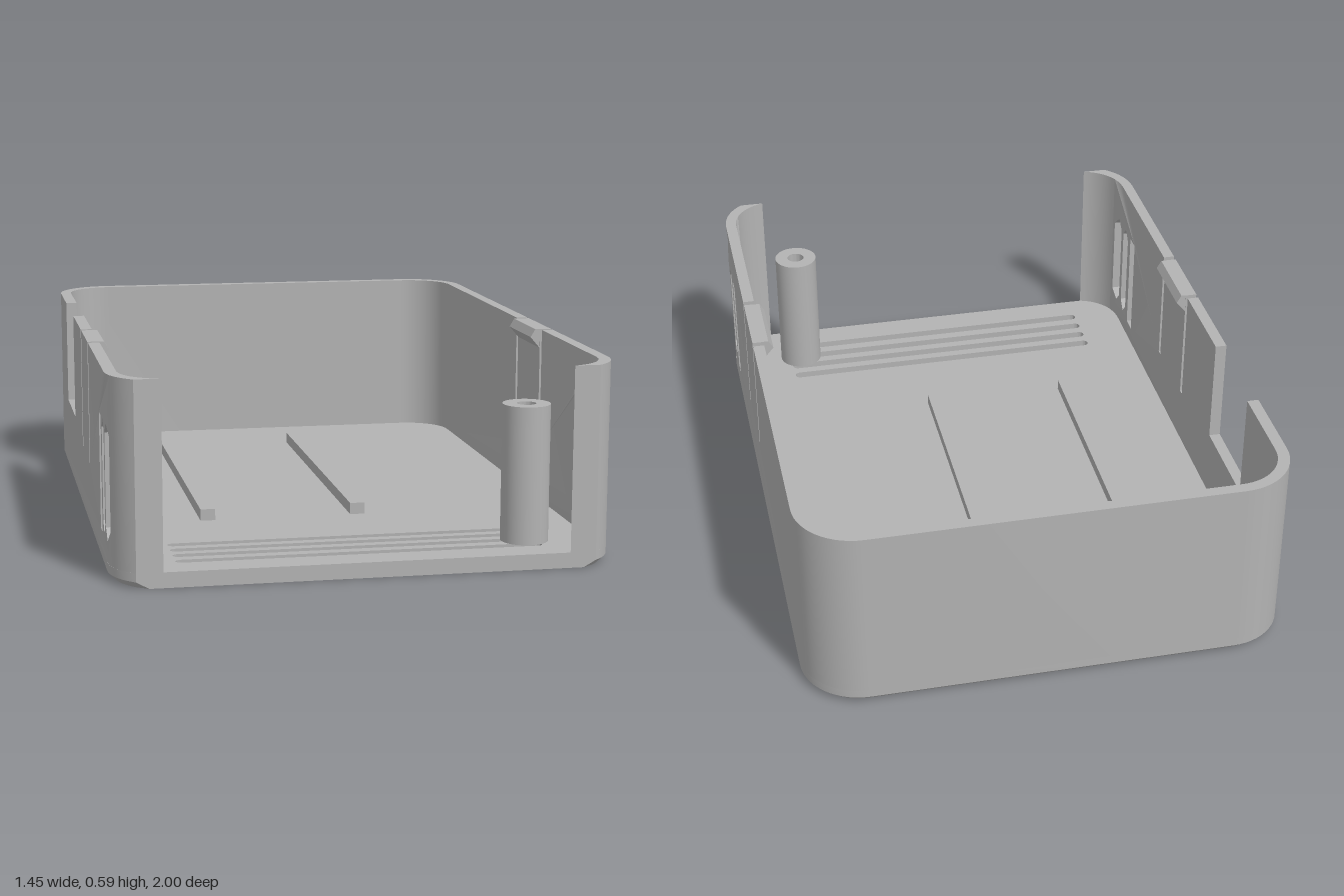
import * as THREE from 'three';
import { toCreasedNormals } from 'three/addons/utils/BufferGeometryUtils.js';

const TOP = 0.585, FLOOR = 0.045, CHAMFER = 0.02;
const RO = 0.18, RI = 0.145;              // outer and inner corner radii
const CX = 0.545, CB = -0.82, CF = 0.86;  // corner centres: x, back z, front z
const CUT = 1, PANEL_END = 0.92;          // open front plane, end of slotted panels

const plastic = new THREE.MeshStandardMaterial({ color: 0xb3b3b3 });
plastic.name = 'grey plastic';

const poly = (pts) => new THREE.Shape(pts.map(([x, y]) => new THREE.Vector2(x, y)));
const mirror = (pts) => pts.map(([x, z]) => [-x, z]).reverse();

// Plan points [x, z] on a rounded corner
function arc(cz, r, a0, a1, n = 14) {
  return Array.from({ length: n + 1 }, (_, i) => {
    const a = a0 + (a1 - a0) * i / n;
    return [CX + r * Math.cos(a), cz + r * Math.sin(a)];
  });
}

// Extrude a plan outline upward from y0 to y1
function slab(pts, y0, y1, holes = []) {
  const shape = poly(pts.map(([x, z]) => [x, -z]));
  shape.holes.push(...holes);
  const g = new THREE.ExtrudeGeometry(shape, { depth: y1 - y0, bevelEnabled: false, curveSegments: 8 });
  return g.rotateX(-Math.PI / 2).translate(0, y0, 0);
}

// Rounded ventilation slot through the floor
function ventHole(z) {
  const p = new THREE.Path(), r = 0.016;
  p.absarc(0.515, -z, r, -Math.PI / 2, Math.PI / 2);
  p.absarc(-0.52, -z, r, Math.PI / 2, Math.PI * 1.5);
  p.closePath();
  return p;
}

// Side wall drawn in (z, y), then bent to follow the start of the front corner
function sidePanel(side) {
  const slit = (z) => [[z + 0.01, TOP], [z + 0.01, 0.215], [z - 0.01, 0.215], [z - 0.01, TOP]];
  const notch = side < 0 ? [[-0.245, TOP], [-0.245, 0.25], [-0.56, 0.25], [-0.56, TOP]] : [];
  const shape = poly([
    [CB, FLOOR], [CF, FLOOR], [0.89, FLOOR], [PANEL_END, FLOOR],
    [PANEL_END, TOP], [0.89, TOP], [CF, TOP],
    ...slit(0.325), ...slit(0.068), ...notch, [CB, TOP],
  ]);
  shape.holes.push(poly([[0.68, 0.1], [0.735, 0.1], [0.735, 0.44], [0.68, 0.44]]));
  for (const z of [0.795, 0.88]) {
    shape.holes.push(poly([
      [z, 0.11], [z + 0.03, 0.142], [z + 0.03, 0.413],
      [z, 0.445], [z - 0.03, 0.413], [z - 0.03, 0.142],
    ]));
  }
  const t = RO - RI;
  const g = new THREE.ExtrudeGeometry(shape, { depth: t, bevelEnabled: false });
  const p = g.attributes.position;
  for (let i = 0; i < p.count; i++) {
    const z = p.getX(i), w = p.getZ(i);
    const r = side > 0 ? RO - w : RI + w;
    const d = Math.max(0, z - CF);
    p.setXYZ(i, side * (CX + Math.sqrt(r * r - d * d)), p.getY(i), z);
  }
  return g;
}

export function createModel() {
  const group = new THREE.Group();
  const add = (name, geometry) => {
    const mesh = new THREE.Mesh(toCreasedNormals(geometry, 0.4), plastic);
    mesh.name = name;
    group.add(mesh);
  };

  // Floor with vents, and its chamfered underside
  const half = [
    ...arc(CF, RO, Math.asin((CUT - CF) / RO), 0),
    ...arc(CB, RO, 0, -Math.PI / 2),
  ];
  const outline = [...half, ...mirror(half)];
  const vents = () => [0.705, 0.766, 0.827, 0.891].map(ventHole);
  add('floor', slab(outline, CHAMFER, FLOOR, vents()));

  const base = slab(outline, 0, CHAMFER, vents());
  const p = base.attributes.position;
  const rc = RO - CHAMFER;
  for (let i = 0; i < p.count; i++) {
    if (p.getY(i) > CHAMFER / 2) continue;
    const x = p.getX(i), z = p.getZ(i);
    const cx = THREE.MathUtils.clamp(x, -CX, CX), cz = THREE.MathUtils.clamp(z, CB, CF);
    if (Math.hypot(x - cx, z - cz) < 0.1) continue;
    if (z > CUT - 1e-4) {
      p.setX(i, Math.sign(x) * (CX + Math.sqrt(rc * rc - (CUT - CF) ** 2)));
    } else {
      p.setX(i, cx + (x - cx) * rc / RO);
      p.setZ(i, cz + (z - cz) * rc / RO);
    }
  }
  add('chamferedBase', base);

  // Back wall with both rounded corners
  const backOuter = arc(CB, RO, 0, -Math.PI / 2), backInner = arc(CB, RI, 0, -Math.PI / 2);
  const inner = [...backInner, ...mirror(backInner)].reverse();
  add('backWall', slab([...backOuter, ...mirror(backOuter), ...inner], FLOOR, TOP));

  // Side walls, front corner returns and snap ridges
  const from = PANEL_END - CF, to = CUT - CF;
  const corner = [
    ...arc(CF, RO, Math.asin(from / RO), Math.asin(to / RO), 6),
    ...arc(CF, RI, Math.asin(to / RI), Math.asin(from / RI), 8),
  ];
  for (const side of [1, -1]) {
    const label = side > 0 ? 'left' : 'right';
    add(label + 'Wall', sidePanel(side));
    add(label + 'FrontCorner', slab(corner.map(([x, z]) => [side * x, z]), FLOOR, TOP));
    const ridge = poly([[0.7, TOP], [0.675, TOP], [0.66, 0.56], [0.69, 0.525], [0.7, 0.525]]
      .map(([x, y]) => [side * x, y]));
    const g = new THREE.ExtrudeGeometry(ridge, { depth: 0.235, bevelEnabled: false });
    add(label + 'SnapRidge', g.translate(0, 0, 0.079));
  }

  // Support rails on the floor
  for (const x of [-0.38, 0.083]) {
    add('supportRail', new THREE.BoxGeometry(0.045, 0.04, 1.11).translate(x, 0.06, -0.125));
  }

  // Hollow screw post
  const profile = [[0, FLOOR], [0.07, FLOOR], [0.07, 0.45], [0.028, 0.45], [0.028, 0.05], [0, 0.05]]
    .map(([x, y]) => new THREE.Vector2(x, y));
  add('screwPost', new THREE.LatheGeometry(profile, 40).translate(0.495, 0, 0.83));

  return group;
}
